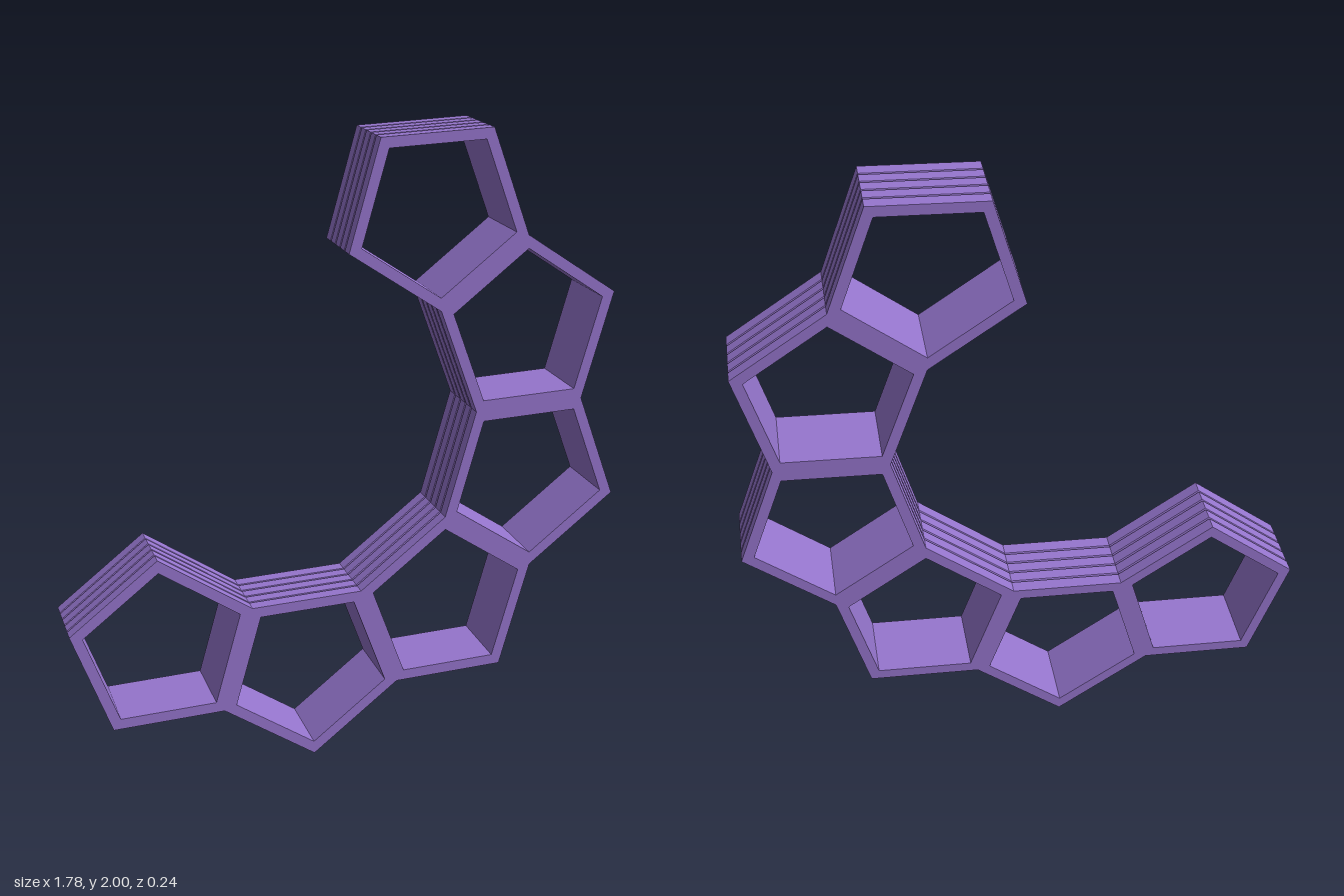
import * as THREE from 'three';

const R = 0.302;            // outer corner radius of one cell
const WALL = 0.034;         // wall thickness, measured across the flat
const HALF = 0.118;         // half depth along z
const LAYERS = 5;
const GROOVE = 0.004;       // half width of a groove
const COS36 = Math.cos(Math.PI / 5);

// Five-sided ring with grooves around its outside and a smooth inside
function cellGeometry() {
  const inner = R - WALL / COS36;
  const pts = [new THREE.Vector2(inner, -HALF), new THREE.Vector2(R, -HALF)];
  for (let i = 1; i < LAYERS; i++) {
    const z = -HALF + (2 * HALF * i) / LAYERS;
    pts.push(
      new THREE.Vector2(R, z - GROOVE),
      new THREE.Vector2(R - 0.01, z),
      new THREE.Vector2(R, z + GROOVE)
    );
  }
  pts.push(new THREE.Vector2(R, HALF), new THREE.Vector2(inner, HALF), new THREE.Vector2(inner, -HALF));
  const geo = new THREE.LatheGeometry(pts, 5).rotateX(Math.PI / 2).toNonIndexed();
  geo.computeVertexNormals();
  // the first corner points along -y after the turn; bring it to +x
  return geo.rotateZ(Math.PI / 2);
}

export function createModel() {
  const model = new THREE.Group();
  model.name = 'pentagonChain';
  const purple = new THREE.MeshStandardMaterial({ color: 0x9575cd });
  purple.name = 'purple';
  const geo = cellGeometry();

  // Each cell shares a side with the next; the chain turns 36 degrees per cell
  let x = 0.279, y = 1.749;
  for (let i = 0; i < 6; i++) {
    const heading = THREE.MathUtils.degToRad(-51.8 - 36 * i);
    const cell = new THREE.Mesh(geo, purple);
    cell.name = `pentagonCell${i + 1}`;
    cell.position.set(x, y, 0);
    cell.rotation.z = heading + Math.PI / 5;
    model.add(cell);
    x += 2 * R * COS36 * Math.cos(heading);
    y += 2 * R * COS36 * Math.sin(heading);
  }
  return model;
}
